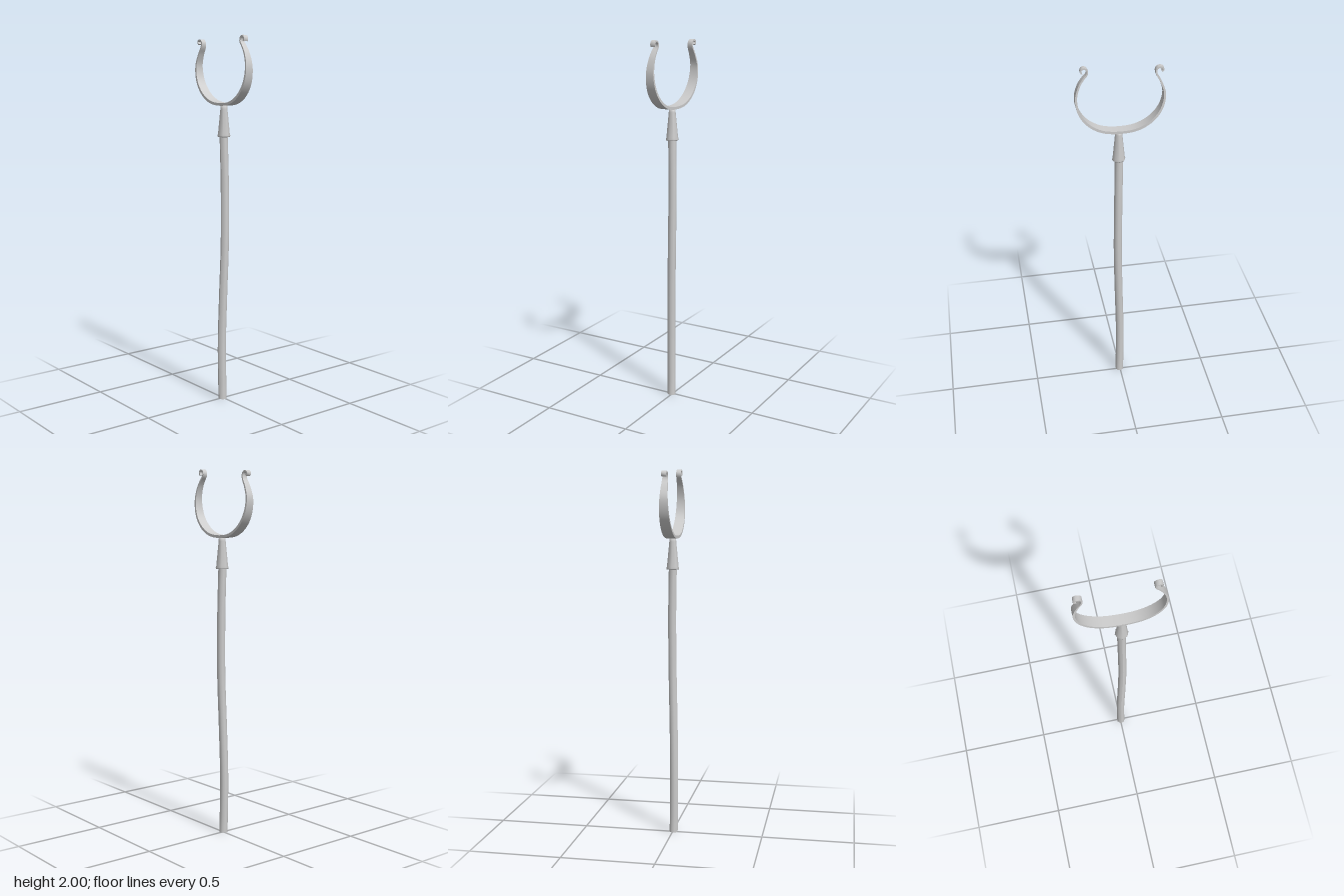
import * as THREE from 'three';

const material = new THREE.MeshStandardMaterial({ color: 0xcccccc });

function addMesh(group, name, geometry) {
  const mesh = new THREE.Mesh(geometry, material);
  mesh.name = name;
  group.add(mesh);
  return mesh;
}

// Moves every vertex of a geometry by a rule
function reshape(geometry, rule) {
  const pos = geometry.attributes.position;
  const v = new THREE.Vector3();
  for (let i = 0; i < pos.count; i++) {
    rule(v.fromBufferAttribute(pos, i));
    pos.setXYZ(i, v.x, v.y, v.z);
  }
  geometry.computeVertexNormals();
  return geometry;
}

// Slightly crooked wooden pole following a gentle curve
function poleGeometry() {
  const height = 1.5;
  const path = new THREE.CatmullRomCurve3([
    [0.003, 0, 0.005], [0, 0.3, 0.008], [0.007, 0.65, 0.004],
    [0.013, 1, -0.003], [0.01, 1.2, -0.005], [0.005, height, 0],
  ].map((p) => new THREE.Vector3(...p)));
  const geometry = new THREE.CylinderGeometry(0.022, 0.023, height, 10, 16);
  return reshape(geometry, (v) => {
    const t = v.y / height + 0.5;
    const c = path.getPoint(t);
    v.set(v.x + c.x, t * height, v.z + c.z);
  });
}

// Tapered metal socket with a rolled lower rim and an open mouth
function socketGeometry() {
  const profile = [
    [0.023, 1.5], [0.024, 1.466], [0.033, 1.466], [0.035, 1.472],
    [0.032, 1.482], [0.019, 1.615], [0.018, 1.638], [0, 1.638],
  ].map(([r, y]) => new THREE.Vector2(r, y));
  return new THREE.LatheGeometry(profile, 8);
}

// Flat strap bent into an open ring, its ends curling outward
function cradleGeometry() {
  const path = new THREE.CatmullRomCurve3([
    [-0.206, 1.953], [-0.217, 1.965], [-0.2, 1.977], [-0.181, 1.968], [-0.18, 1.942],
    [-0.202, 1.9], [-0.222, 1.836], [-0.207, 1.757], [-0.16, 1.693], [-0.088, 1.651],
    [0.003, 1.639], [0.093, 1.651], [0.16, 1.69], [0.206, 1.753], [0.221, 1.836],
    [0.203, 1.905], [0.18, 1.942], [0.162, 1.965], [0.164, 1.985], [0.178, 1.995],
    [0.194, 1.985], [0.19, 1.967],
  ].map(([x, y]) => new THREE.Vector3(x, y, 0)), false, 'centripetal');
  const geometry = new THREE.BoxGeometry(1, 1, 1, 90, 1, 1);
  return reshape(geometry, (v) => {
    const u = v.x + 0.5;
    const c = path.getPointAt(u);
    const t = path.getTangentAt(u);
    const rise = THREE.MathUtils.clamp((c.y - 1.65) / 0.31, 0, 1);
    const width = 0.057 - 0.03 * Math.pow(rise, 1.4);
    const offset = v.y * (0.014 - 0.006 * rise);
    // the ring is turned very slightly on the pole
    v.set(c.x - t.y * offset, c.y + t.x * offset, v.z * width - 0.001 + 0.022 * c.x);
  });
}

export function createModel() {
  const model = new THREE.Group();
  model.name = 'forkedPole';
  addMesh(model, 'pole', poleGeometry());
  addMesh(model, 'socket', socketGeometry()).position.set(0.007, 0, -0.001);
  addMesh(model, 'openRing', cradleGeometry());
  return model;
}
